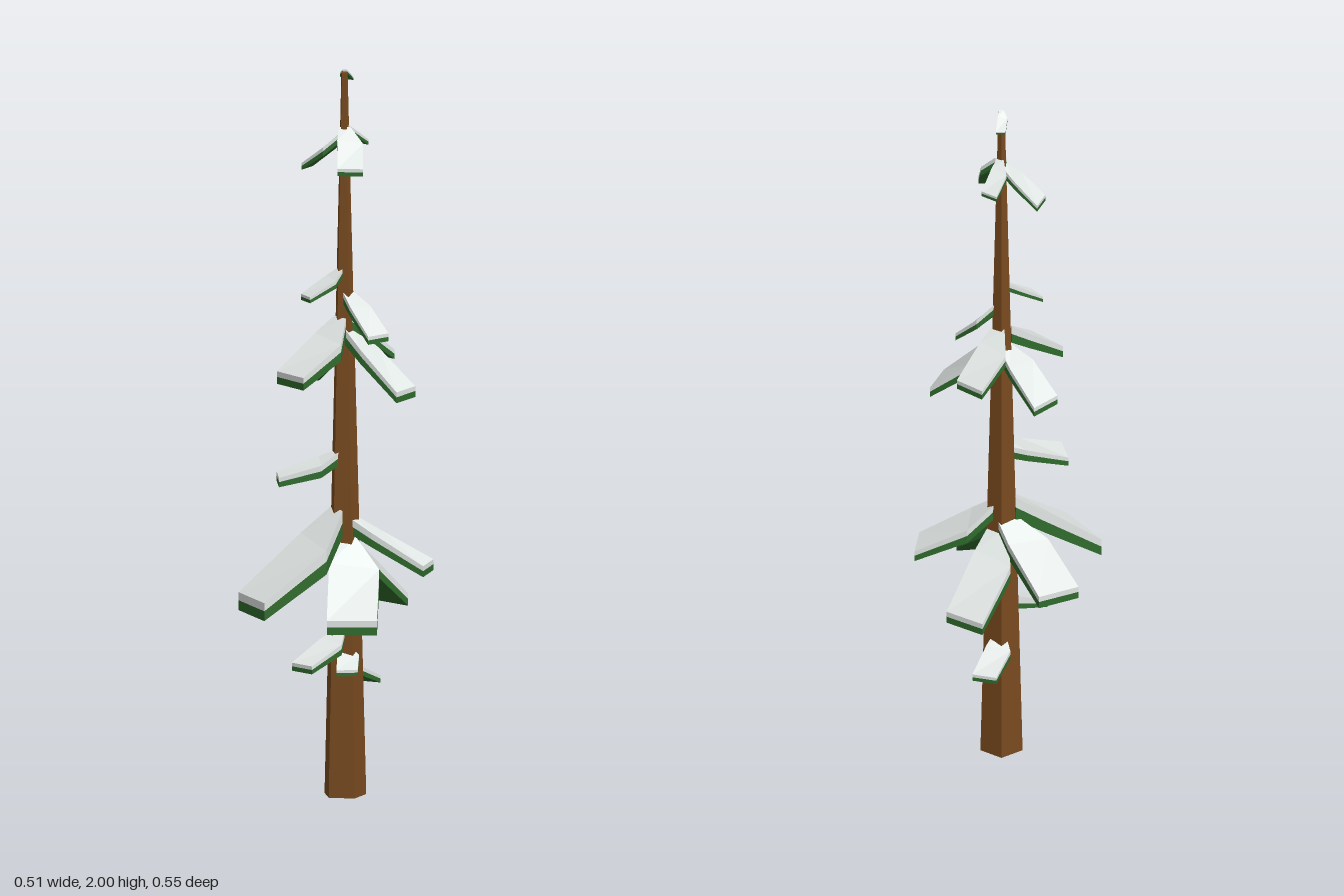
import * as THREE from 'three';

const bark = new THREE.MeshStandardMaterial({ name: 'bark brown', color: 0x784a1e });
const needles = new THREE.MeshStandardMaterial({ name: 'needle green', color: 0x2f6b2c });
const snow = new THREE.MeshStandardMaterial({ name: 'snow white', color: 0xe8eeec });

const BASE_X = 0.014, BASE_Z = -0.048;

// Flat-shaded solid lofted through four-cornered rings, root to tip
function loft(rings) {
  const pos = [];
  const quad = (a, b, c, d) => [a, b, c, a, c, d].forEach((p) => pos.push(...p));
  for (let k = 0; k < rings.length - 1; k++) {
    const a = rings[k], b = rings[k + 1];
    for (let i = 0; i < 4; i++) {
      const j = (i + 1) % 4;
      quad(a[i], a[j], b[j], b[i]);
    }
  }
  const tip = rings[rings.length - 1];
  quad(...tip);
  quad(...[...rings[0]].reverse());
  const g = new THREE.BufferGeometry();
  g.setAttribute('position', new THREE.Float32BufferAttribute(pos, 3));
  g.computeVertexNormals();
  return g;
}

// Drooping bough: green slab below, snow slab above, from tip corners and heights
function makeBough([lx, lz, rx, rz, yRoot, yTip]) {
  const cx = (lx + rx) / 2, cz = (lz + rz) / 2;
  const hx = (lx - rx) / 2, hz = (lz - rz) / 2;
  const w = 2 * Math.hypot(hx, hz);
  // distance along, left reach, right reach, thickness, sag of the left side
  const stations = [
    [0.08, 0.45, -0.45, 0.42 * w, 0],
    [0.37, 1.28, -0.72, 0.38 * w, 0.12 * w],
    [1, 1, -1, 0.29 * w, 0],
  ];
  const layer = (from, to) => loft(stations.map(([t, l, r, thick, sag]) => {
    const y = yRoot + (yTip - yRoot) * t;
    const point = (s, f, drop) => [
      BASE_X + (cx - BASE_X) * t + hx * s,
      y - thick * f - drop,
      BASE_Z + (cz - BASE_Z) * t + hz * s,
    ];
    return [point(l, from, sag), point(r, from, 0), point(r, to, 0), point(l, to, sag)];
  }));
  const bough = new THREE.Group();
  bough.name = 'bough';
  const top = new THREE.Mesh(layer(0, 0.45), snow);
  top.name = 'boughSnow';
  const under = new THREE.Mesh(layer(0.45, 1), needles);
  under.name = 'boughNeedles';
  bough.add(top, under);
  return bough;
}

// Left tip x, z; right tip x, z; root height; tip height
const tiers = {
  lowTwigs: [
    [0.085, 0.12, 0.01, 0.13, 0.47, 0.385],
    [0.12, -0.01, 0.09, 0.04, 0.42, 0.365],
    [-0.08, -0.17, -0.02, -0.2, 0.37, 0.305],
  ],
  lowerBoughs: [
    [0.068, 0.271, -0.097, 0.229, 0.81, 0.575],
    [0.253, 0.029, 0.167, 0.134, 0.73, 0.525],
    [-0.254, -0.03, -0.213, -0.143, 0.74, 0.6],
    [-0.113, -0.26, 0.003, -0.277, 0.72, 0.525],
    [0.147, -0.25, 0.208, -0.166, 0.78, 0.645],
  ],
  middleBoughs: [
    [-0.027, 0.145, -0.1, 0.095, 0.955, 0.89],
    [0.093, 0.156, -0.026, 0.152, 1.33, 1.185],
    [0.15, -0.185, 0.188, -0.09, 1.3, 1.13],
    [-0.06, -0.205, 0.03, -0.208, 1.33, 1.21],
    [-0.143, 0.005, -0.143, -0.087, 1.27, 1.14],
    [0.015, 0.071, -0.04, 0.059, 1.46, 1.385],
    [0.122, -0.115, 0.128, -0.04, 1.4, 1.28],
  ],
  upperBoughs: [
    [-0.08, 0.025, -0.104, -0.034, 1.83, 1.735],
    [0.112, -0.035, 0.063, 0.015, 1.85, 1.74],
    [-0.056, -0.143, -0.006, -0.148, 1.85, 1.79],
    [-0.04, -0.09, -0.02, -0.107, 2.0, 1.965],
  ],
};

export function createModel() {
  const tree = new THREE.Group();
  tree.name = 'snowyTree';

  // Tapered five-sided trunk
  const trunkGeo = new THREE.CylinderGeometry(0.009, 0.06, 1.99, 5).toNonIndexed();
  trunkGeo.computeVertexNormals();
  const trunk = new THREE.Mesh(trunkGeo, bark);
  trunk.name = 'trunk';
  trunk.position.set(BASE_X, 0.995, BASE_Z);
  trunk.rotation.y = 0.12;
  tree.add(trunk);

  // Boughs tier by tier
  for (const [name, list] of Object.entries(tiers)) {
    const tier = new THREE.Group();
    tier.name = name;
    list.forEach((b) => tier.add(makeBough(b)));
    tree.add(tier);
  }
  return tree;
}
